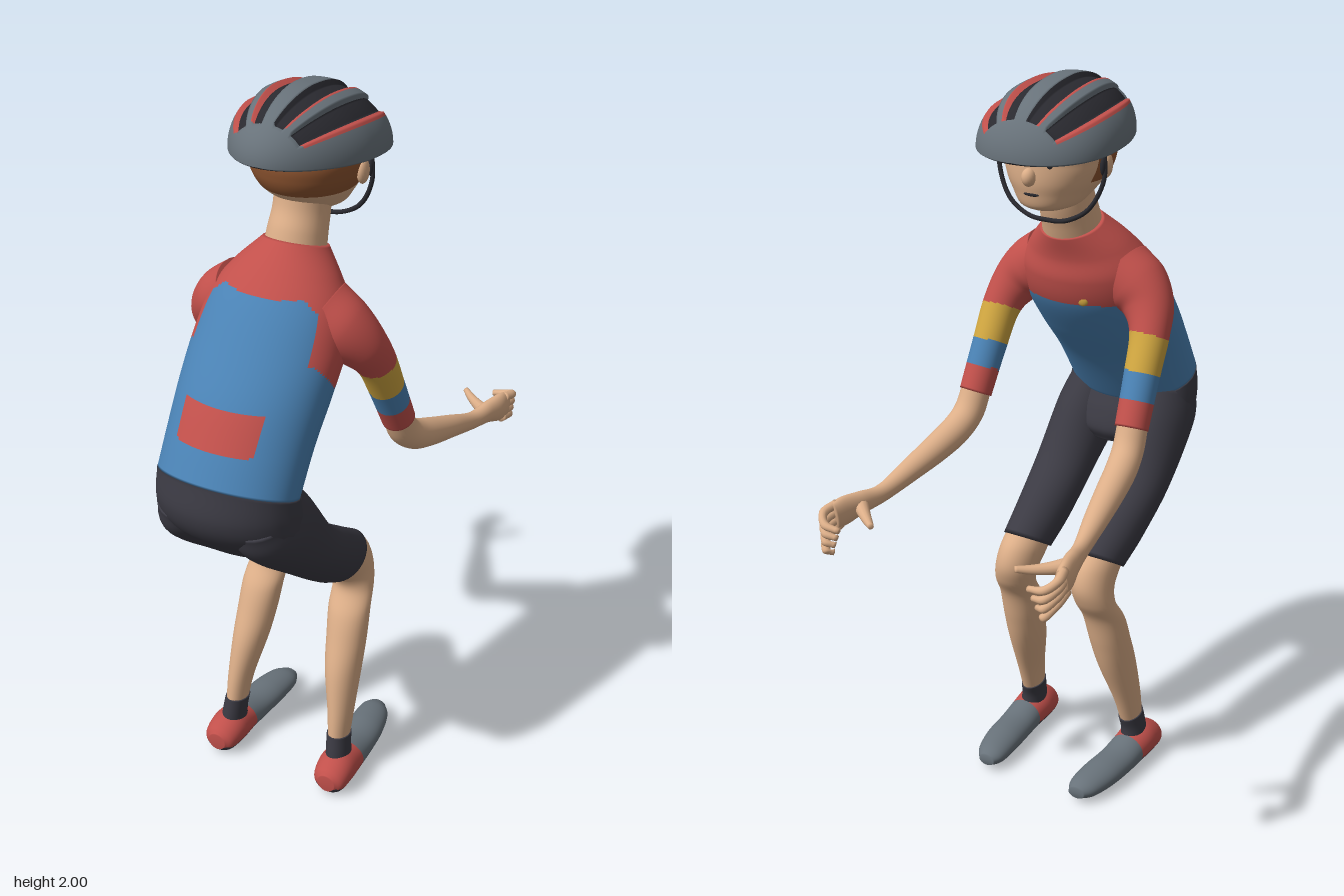
import * as THREE from 'three';

const V = (x, y, z) => new THREE.Vector3(x, y, z);
const mat = (name, color) => Object.assign(new THREE.MeshStandardMaterial({ color }), { name });

// Closed surface from fn(t, angle); paint(p, t, angle) picks the material of each cell
function skinMesh(name, fn, mats, paint = () => 0, n = 40, m = 32) {
  const pos = [], tris = mats.map(() => []);
  for (let i = 0; i <= n; i++)
    for (let j = 0; j < m; j++) pos.push(fn(i / n, (j / m) * Math.PI * 2));
  let volume = 0;
  const cells = [];
  for (let i = 0; i < n; i++) for (let j = 0; j < m; j++) {
    const k = (j + 1) % m, a = i * m + j, b = i * m + k, c = a + m, d = b + m;
    const mid = pos[a].clone().add(pos[b]).add(pos[c]).add(pos[d]).multiplyScalar(0.25);
    const g = paint(mid, (i + 0.5) / n, ((j + 0.5) / m) * Math.PI * 2);
    for (const f of [[a, b, c], [b, d, c]]) {
      cells.push([f, g]);
      volume += pos[f[0]].dot(pos[f[1]].clone().cross(pos[f[2]]));
    }
  }
  for (const [f, g] of cells) tris[g].push(...(volume < 0 ? [f[0], f[2], f[1]] : f));
  const geo = new THREE.BufferGeometry().setFromPoints(pos);
  geo.setIndex(tris.flat());
  geo.computeVertexNormals();
  let start = 0;
  tris.forEach((t, g) => { geo.addGroup(start, t.length, g); start += t.length; });
  const mesh = new THREE.Mesh(geo, mats.length > 1 ? mats : mats[0]);
  mesh.name = name;
  return mesh;
}

// Smooth loft through elliptical sections { c, u, v }, closed at both ends
function loft(name, secs, mats, paint, n = 40, m = 32) {
  const [c, u, v] = ['c', 'u', 'v'].map(k =>
    new THREE.CatmullRomCurve3(secs.map(s => s[k]), false, 'catmullrom', 0.5));
  const fn = (t, a) => {
    const s = Math.min(1, Math.max(0, (t * n - 1) / (n - 2)));
    const p = c.getPoint(s);
    if (t === 0 || t === 1) return p;
    return p.addScaledVector(u.getPoint(s), Math.cos(a)).addScaledVector(v.getPoint(s), Math.sin(a));
  };
  return skinMesh(name, fn, mats, paint, n, m);
}

// Section from back point (z, y), front point (z, y), half width and centre x
const sec = (bz, by, fz, fy, rx, cx = 0) => ({
  c: V(cx, (by + fy) / 2, (bz + fz) / 2), u: V(rx, 0, 0), v: V(0, (by - fy) / 2, (bz - fz) / 2),
});

// Sections square to a path of [x, y, z, radius, second radius]
function limb(pts, side, ref = V(1, 0, 0)) {
  const P = pts.map(p => V(p[0] * side, p[1], p[2]));
  return P.map((c, i) => {
    const t = P[Math.min(i + 1, P.length - 1)].clone().sub(P[Math.max(i - 1, 0)]).normalize();
    const u = ref.clone().addScaledVector(t, -ref.dot(t)).normalize();
    const v = t.cross(u);
    return { c, u: u.multiplyScalar(pts[i][3]), v: v.multiplyScalar(pts[i][4] ?? pts[i][3]) };
  });
}

function blob(name, material, x, y, z, sx, sy, sz) {
  const mesh = new THREE.Mesh(new THREE.SphereGeometry(1, 20, 14), material);
  mesh.name = name;
  mesh.position.set(x, y, z);
  mesh.scale.set(sx, sy, sz);
  return mesh;
}

export function createModel() {
  const root = new THREE.Group();
  root.name = 'cyclist';
  const red = mat('red', 0xc1504b), blue = mat('blue', 0x4a82b4), yellow = mat('yellow', 0xd0a640);
  const skin = mat('skin', 0xdcae88), dark = mat('shorts', 0x3b3a43), grey = mat('grey', 0x68727a);
  const hair = mat('hair', 0x8f5530), black = mat('black', 0x2a2a30);

  // Jersey with red yoke, armholes and back pocket
  root.add(loft('jersey', [
    sec(0.165, 1.645, 0.01, 1.59, 0.082), sec(0.235, 1.59, 0.025, 1.53, 0.14),
    sec(0.3, 1.528, 0.026, 1.47, 0.18), sec(0.375, 1.44, 0.052, 1.395, 0.195),
    sec(0.455, 1.342, 0.12, 1.3, 0.194), sec(0.515, 1.247, 0.215, 1.19, 0.189),
    sec(0.56, 1.167, 0.305, 1.06, 0.187),
  ], [blue, red], p => {
    const yoke = p.y > 1.547 || (p.z < 0.245 && p.y > 1.41);
    const armhole = Math.abs(p.x) > 0.15 && p.y > 1.335 && p.z < 0.317 - 0.8 * Math.abs(p.y - 1.42);
    const pocket = Math.abs(p.x) < 0.105 && p.z > 0.35 && p.y > 1.24 && p.y < 1.33;
    return yoke || armhole || pocket ? 1 : 0;
  }, 110, 110));
  root.add(blob('chestBadge', yellow, -0.055, 1.425, 0.052, 0.017, 0.017, 0.008));

  // Shorts seat
  root.add(loft('shortsSeat', [
    sec(0.561, 1.167, 0.304, 1.06, 0.188), sec(0.578, 1.08, 0.28, 1.02, 0.193),
    sec(0.553, 1.012, 0.265, 0.97, 0.188), sec(0.49, 0.95, 0.28, 0.935, 0.13),
  ], [dark]));

  // Neck and head
  root.add(loft('neck', limb([[0, 1.58, 0.1, 0.08], [0, 1.64, 0.08, 0.074, 0.08],
    [0, 1.7, 0.058, 0.07, 0.076], [0, 1.78, 0.05, 0.07]], 1), [skin]));
  root.add(loft('head', [
    sec(0.04, 1.682, -0.07, 1.682, 0.045), sec(0.075, 1.7, -0.095, 1.695, 0.078),
    sec(0.12, 1.73, -0.106, 1.73, 0.104), sec(0.155, 1.76, -0.112, 1.76, 0.124),
    sec(0.174, 1.8, -0.112, 1.8, 0.139), sec(0.174, 1.85, -0.108, 1.85, 0.141),
    sec(0.13, 1.92, -0.06, 1.92, 0.1),
  ], [skin, hair], p => (p.z > -0.015 && p.y > 1.757 ? 1 : 0), 60, 64));
  root.add(blob('nose', skin, 0, 1.775, -0.115, 0.018, 0.023, 0.02));
  root.add(blob('mouth', black, 0, 1.73, -0.104, 0.022, 0.005, 0.004));
  for (const s of [-1, 1]) {
    root.add(blob('ear', skin, s * 0.142, 1.797, 0.015, 0.014, 0.032, 0.022));
    root.add(blob('eye', black, s * 0.05, 1.812, -0.101, 0.011, 0.014, 0.005));
    const brow = blob('eyebrow', black, s * 0.052, 1.838, -0.1, 0.021, 0.004, 0.005);
    brow.rotation.y = -s * 0.35;
    root.add(brow);
  }

  // Ribbed helmet with sunken vents and red trim
  const ventRange = z => z > -0.15 && z < 0.215;
  const vent = (z, a) => {
    const q = Math.abs(Math.cos(a));
    return Math.sin(a) > 0 && ventRange(z) && ((q > 0.15 && q < 0.38) || (q > 0.58 && q < 0.81));
  };
  const trim = (z, a) => {
    const q = Math.abs(Math.cos(a));
    return Math.sin(a) > 0 && ventRange(z) && ((q >= 0.38 && q < 0.44) || (q >= 0.81 && q < 0.87));
  };
  root.add(skinMesh('helmet', (t, a) => {
    const w = -Math.cos(Math.PI * t), z = 0.04 + 0.23 * w;
    const s = Math.sqrt(Math.max(0, 1 - Math.abs(w) ** (w < 0 ? 2.5 : 1.8)));
    const k = s * (vent(z, a) ? 0.92 : 1), up = Math.sin(a);
    return V(0.183 * (1 - 0.1 * w) * k * Math.cos(a),
      1.847 + 0.022 * w + up * k * (up > 0 ? 0.153 : 0.022), z);
  }, [grey, black, red], (p, t, a) => {
    const z = 0.04 - 0.23 * Math.cos(Math.PI * t);
    return trim(z, a) ? 2 : vent(z, a) || Math.sin(a) < -0.5 ? 1 : 0;
  }, 70, 180));

  // Chin strap and buckles
  const strap = [[0.15, 1.845, -0.01], [0.152, 1.765, -0.014], [0.115, 1.69, -0.025], [0.055, 1.655, -0.032]];
  const strapPath = [...strap, [0, 1.65, -0.034], ...strap.map(p => [-p[0], p[1], p[2]]).reverse()];
  const strapMesh = new THREE.Mesh(new THREE.TubeGeometry(
    new THREE.CatmullRomCurve3(strapPath.map(p => V(...p))), 60, 0.006, 8), black);
  strapMesh.name = 'chinStrap';
  root.add(strapMesh);

  for (const s of [-1, 1]) {
    const arm = new THREE.Group(), leg = new THREE.Group();
    arm.name = s > 0 ? 'leftArm' : 'rightArm';
    leg.name = s > 0 ? 'leftLeg' : 'rightLeg';
    root.add(arm, leg, blob('strapBuckle', black, s * 0.15, 1.8, -0.012, 0.008, 0.024, 0.012));

    // Banded sleeve
    arm.add(loft('sleeve', limb([
      [0.11, 1.48, 0.16, 0.09], [0.165, 1.445, 0.155, 0.083], [0.205, 1.405, 0.135, 0.066],
      [0.228, 1.345, 0.098, 0.052], [0.235, 1.25, 0.048, 0.047], [0.242, 1.13, -0.012, 0.044],
    ], s), [red, yellow, blue], p => {
      const d = p.y * 0.89 + p.z * 0.457;
      return d > 1.242 || d < 1.071 ? 0 : d > 1.143 ? 1 : 2;
    }, 120, 48));

    // Forearm and palm
    arm.add(loft('forearm', limb([
      [0.242, 1.15, -0.002, 0.04], [0.247, 1.085, -0.035, 0.041], [0.255, 1.045, -0.085, 0.041],
      [0.267, 1.015, -0.16, 0.038], [0.284, 0.983, -0.26, 0.031], [0.302, 0.952, -0.36, 0.021, 0.025],
      [0.318, 0.948, -0.43, 0.022, 0.032], [0.333, 0.942, -0.48, 0.021, 0.041],
      [0.34, 0.937, -0.515, 0.016, 0.038],
    ], s), [skin], undefined, 60));

    // Curled fingers and thumb
    for (let i = 0; i < 4; i++) {
      arm.add(loft('finger', limb([
        [0.34, 0.967 - 0.02 * i, -0.5 + 0.004 * i, 0.013], [0.348 - 0.002 * i, 0.958 - 0.022 * i, -0.542, 0.012],
        [0.325, 0.94 - 0.024 * i, -0.568, 0.011], [0.282 + 0.01 * i, 0.932 - 0.024 * i, -0.566 + 0.004 * i, 0.008],
      ], s, V(0, 1, 0)), [skin], undefined, 20, 12));
    }
    arm.add(loft('thumb', limb([
      [0.32, 0.945, -0.43, 0.022], [0.28, 0.94, -0.465, 0.016],
      [0.245, 0.94, -0.495, 0.012], [0.215, 0.945, -0.522, 0.008],
    ], s, V(0, 1, 0)), [skin], undefined, 20, 12));

    // Shorts leg, bare leg and sock
    leg.add(loft('shortsLeg', [
      sec(0.545, 1.04, 0.33, 1.1, 0.085, s * 0.098), sec(0.505, 0.955, 0.275, 1.025, 0.09, s * 0.112),
      sec(0.34, 0.812, 0.19, 0.895, 0.083, s * 0.122), sec(0.21, 0.705, 0.08, 0.805, 0.074, s * 0.12),
      sec(0.12, 0.645, -0.02, 0.733, 0.064, s * 0.118),
    ], [dark]));
    leg.add(loft('bareLeg', [
      sec(0.13, 0.67, 0, 0.74, 0.058, s * 0.118), sec(0.1, 0.645, -0.045, 0.7, 0.059, s * 0.118),
      sec(0.07, 0.615, -0.063, 0.645, 0.058, s * 0.122), sec(0.063, 0.575, -0.05, 0.59, 0.057, s * 0.13),
      sec(0.1, 0.515, -0.015, 0.53, 0.059, s * 0.137), sec(0.13, 0.44, 0.008, 0.44, 0.056, s * 0.143),
      sec(0.163, 0.35, 0.035, 0.35, 0.049, s * 0.15), sec(0.187, 0.23, 0.085, 0.23, 0.035, s * 0.163),
      sec(0.199, 0.14, 0.117, 0.14, 0.028, s * 0.168),
    ], [skin], undefined, 60));
    leg.add(loft('sock', [
      sec(0.2, 0.165, 0.11, 0.15, 0.032, s * 0.167), sec(0.21, 0.115, 0.12, 0.115, 0.033, s * 0.171),
      sec(0.215, 0.07, 0.12, 0.07, 0.036, s * 0.174),
    ], [dark]));

    // Shoe: [z, centre y, half width, half height, centre x]
    leg.add(loft('shoe', [
      [0.26, 0.048, 0.026, 0.026, 0.18], [0.24, 0.049, 0.047, 0.042, 0.18], [0.19, 0.055, 0.055, 0.053, 0.178],
      [0.13, 0.05, 0.053, 0.048, 0.177], [0.06, 0.043, 0.053, 0.04, 0.173], [-0.02, 0.042, 0.053, 0.037, 0.166],
      [-0.09, 0.039, 0.044, 0.03, 0.157], [-0.127, 0.037, 0.024, 0.016, 0.152],
    ].map(([z, y, rx, ry, x]) => ({ c: V(s * x, y, z), u: V(rx, 0, 0), v: V(0, ry, 0) })),
    [grey, red, dark], p => (p.y < (p.z > 0.12 ? 0.035 : 0.016) ? 2 : p.z > 0.12 ? 1 : 0), 60, 48));
  }
  return root;
}
